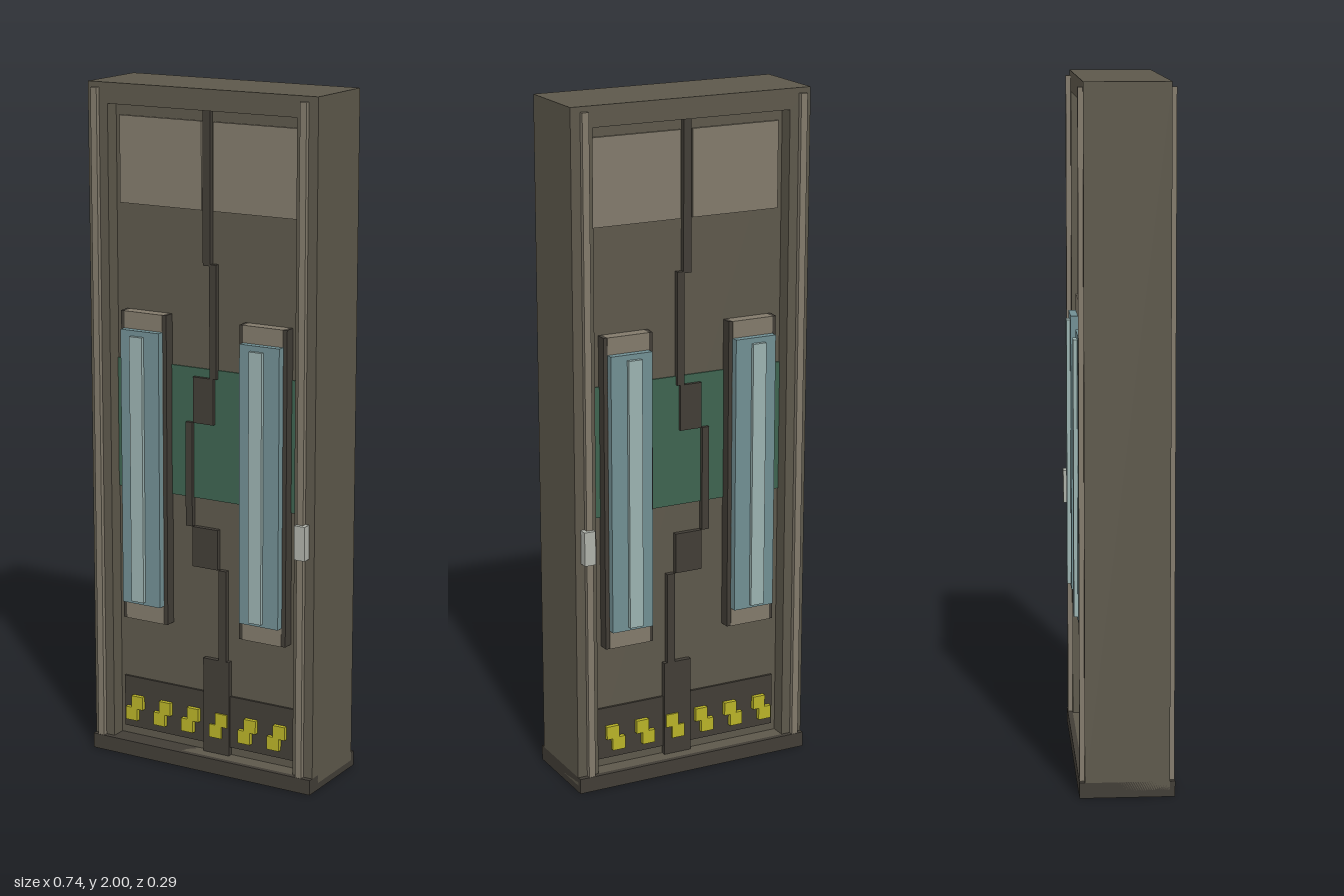
import * as THREE from 'three';

const mat = (color) => new THREE.MeshStandardMaterial({ color });
const M = {
  body: mat(0x5d584b), dark: mat(0x413d36), tan: mat(0x827a6b), green: mat(0x3e6450),
  glass: mat(0x718f93), bar: mat(0x9bb2b0), yellow: mat(0xb8b228), pale: mat(0xaeb1a9),
};

// Box given by its limits on each axis
function box(parent, name, material, [x0, x1], [y0, y1], [z0, z1]) {
  const mesh = new THREE.Mesh(new THREE.BoxGeometry(x1 - x0, y1 - y0, z1 - z0), material);
  mesh.position.set((x0 + x1) / 2, (y0 + y1) / 2, (z0 + z1) / 2);
  mesh.name = name;
  parent.add(mesh);
}

export function createModel() {
  const model = new THREE.Group();
  model.name = 'slidingDoor';

  // Outer frame with an opening right through it
  const outline = new THREE.Shape();
  outline.moveTo(-0.37, 0.02).lineTo(0.37, 0.02).lineTo(0.37, 2).lineTo(-0.37, 2).closePath();
  const opening = new THREE.Path();
  opening.moveTo(-0.305, 0.045).lineTo(-0.305, 1.94).lineTo(0.305, 1.94).lineTo(0.305, 0.045).closePath();
  outline.holes.push(opening);
  const frame = new THREE.Mesh(
    new THREE.ExtrudeGeometry(outline, { depth: 0.24, bevelEnabled: false }), M.body);
  frame.position.z = -0.12;
  frame.name = 'frame';
  model.add(frame);

  // Threshold and door leaf
  box(model, 'threshold', M.dark, [-0.37, 0.37], [0, 0.045], [-0.135, 0.135]);
  box(model, 'doorLeaf', M.body, [-0.305, 0.305], [0.045, 1.94], [-0.075, 0.075]);

  // Stepped seam: x limits, y limits
  const seam = [
    [[-0.011, 0.013], [1.5, 1.94]], [[0.01, 0.032], [1.175, 1.505]],
    [[-0.045, 0.022], [1.04, 1.175]], [[-0.07, -0.048], [0.73, 1.04]],
    [[-0.047, 0.037], [0.61, 0.73]], [[0.04, 0.065], [0.335, 0.61]],
    [[-0.012, 0.075], [0.045, 0.335]],
  ];

  // The same fittings on the front and the back
  for (const s of [1, -1]) {
    const side = new THREE.Group();
    side.name = s > 0 ? 'frontFittings' : 'backFittings';
    const add = (name, m, x, y, z0, z1) =>
      box(side, name, m, x, y, s > 0 ? [z0, z1] : [-z1, -z0]);

    add('greenBand', M.green, [-0.305, 0.305], [0.815, 1.2], 0.07, 0.079);
    add('upperPanelRight', M.tan, [-0.29, -0.02], [1.655, 1.905], 0.07, 0.082);
    add('upperPanelLeft', M.tan, [0.018, 0.29], [1.655, 1.905], 0.07, 0.082);
    add('kickPlate', M.dark, [-0.29, 0.29], [0.07, 0.228], 0.07, 0.082);
    for (const [x, y] of seam) add('seam', M.dark, x, y, 0.07, 0.09);

    // Warning marks, each of two offset squares
    for (let i = 0; i < 6; i++) {
      const x = -0.25 + i * 0.097;
      add('warningMarkLower', M.yellow, [x - 0.03, x + 0.01], [0.095, 0.135], 0.07, 0.095);
      add('warningMarkUpper', M.yellow, [x - 0.01, x + 0.029], [0.132, 0.172], 0.07, 0.095);
    }

    // Lamps: dark side rails, backing, glass and bright bar
    for (const [c, b] of [[-0.198, -0.205], [0.196, 0.189]]) {
      add('lampBacking', M.tan, [c - 0.064, c + 0.064], [0.422, 1.348], 0.07, 0.11);
      for (const e of [-1, 1]) {
        const x = c + e * 0.07;
        add('lampRail', M.dark, [x - 0.006, x + 0.006], [0.422, 1.348], 0.07, 0.108);
      }
      add('lampGlass', M.glass, [c - 0.064, c + 0.064], [0.478, 1.298], 0.1, 0.131);
      add('lampBar', M.bar, [b - 0.021, b + 0.021], [0.488, 1.282], 0.12, 0.142);
    }

    // Post strips and lock pad
    for (const x of [-0.343, 0.331]) {
      add('postStrip', M.tan, [x - 0.01, x + 0.01], [0.045, 1.985], 0.11, 0.134);
    }
    add('lockPad', M.pale, [0.319, 0.353], [0.702, 0.802], 0.11, 0.146);
    model.add(side);
  }
  return model;
}
